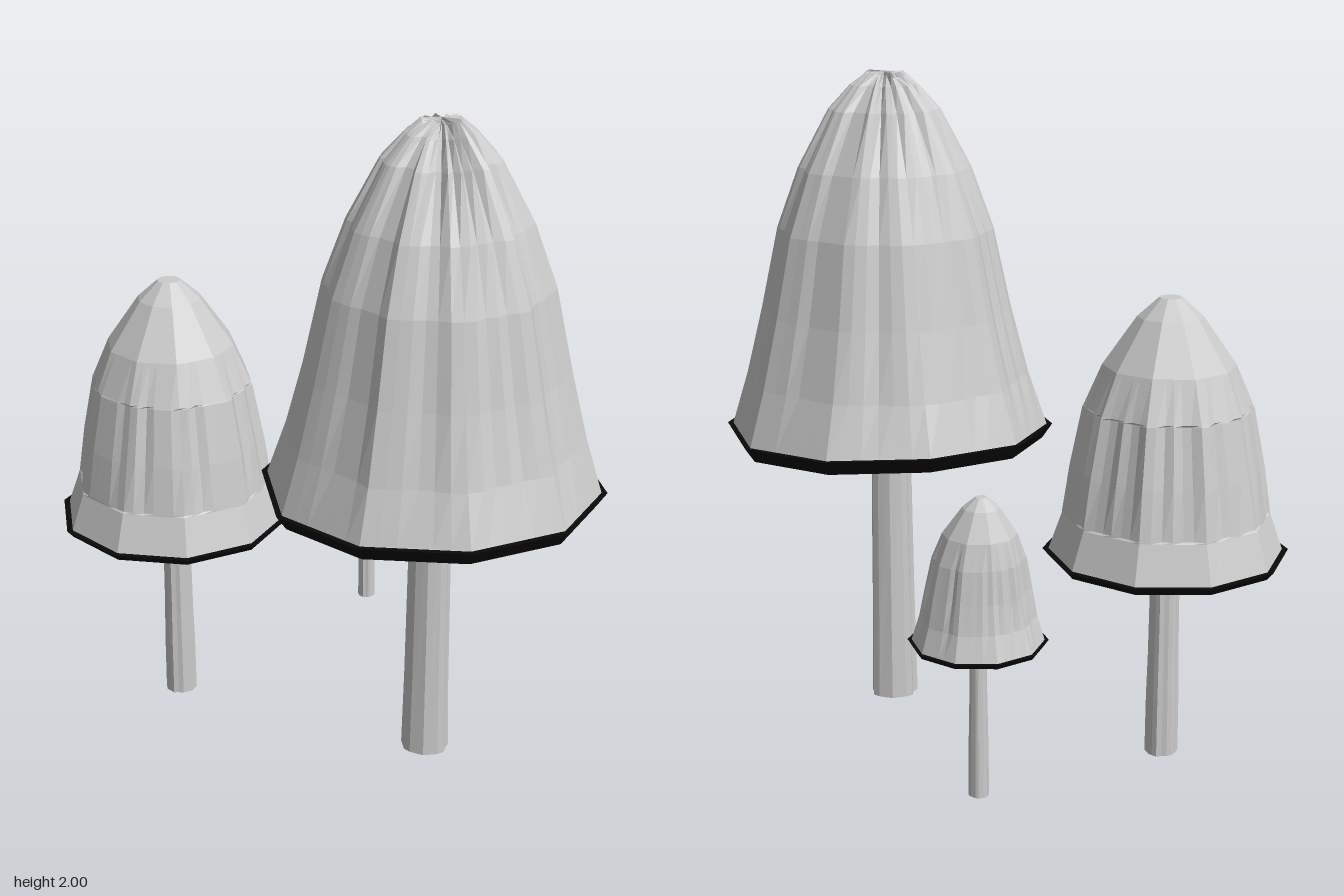
import * as THREE from 'three';

const SIDES = 10;
const grey = new THREE.MeshStandardMaterial({ color: 0xcccccc, flatShading: true, side: THREE.DoubleSide });
const black = new THREE.MeshStandardMaterial({ color: 0x0a0a0a, flatShading: true, side: THREE.DoubleSide });

// small seeded generator for the pleats
function seeded(seed) {
  return () => {
    seed = (seed * 16807) % 2147483647;
    return seed / 2147483647;
  };
}

// distance to the edge of a ten-sided polygon with a corner at angle 0
function polygon(a) {
  const step = (2 * Math.PI) / SIDES;
  return Math.cos(step / 2) / Math.cos((a % step) - step / 2);
}

// skin over rings listed from top to bottom; point(row, column, angle) gives [x, y, z]
function loft(rows, columns, point) {
  const positions = [], index = [];
  for (let i = 0; i < rows; i++) {
    for (let j = 0; j < columns; j++) {
      positions.push(...point(i, j, (j / columns) * 2 * Math.PI));
      if (i === rows - 1) continue;
      const k = (j + 1) % columns;
      const a = i * columns + j, b = i * columns + k;
      index.push(a, a + columns, b, b, a + columns, b + columns);
    }
  }
  const geometry = new THREE.BufferGeometry();
  geometry.setAttribute('position', new THREE.Float32BufferAttribute(positions, 3));
  geometry.setIndex(index);
  geometry.computeVertexNormals();
  return geometry;
}

// faceted rings; each ring is [y, radius, pleat depth]
function rings(list, { columns = SIDES, seed = 1, wave = 0, waveTop = 0, lean = 0, ruffle = 0 } = {}) {
  const random = seeded(seed);
  const pleat = Array.from({ length: columns }, () => (random() < 0.4 ? -1 : 0.25 * random()));
  const lift = Array.from({ length: columns }, () => random() - 1);
  const bottom = list[list.length - 1][0], top = list[0][0];
  return loft(list.length, columns, (i, j, a) => {
    const [y, radius, depth = 0] = list[i];
    const r = radius * polygon(a) + depth * pleat[j];
    const t = (y - bottom) / (top - bottom || 1);
    const wobble = wave * Math.cos(2 * a) * (y > waveTop ? 0 : 1);
    const frill = i < 2 ? ruffle * lift[j] : 0;
    return [r * Math.sin(a), y + wobble + frill, r * Math.cos(a) + lean * t * t];
  });
}

function mushroom(name, spec) {
  const group = new THREE.Group();
  group.name = name;
  group.position.set(spec.x, 0, spec.z);
  const add = (part, geometry, material = grey) => {
    const mesh = new THREE.Mesh(geometry, material);
    mesh.name = part;
    group.add(mesh);
  };
  const { rim, wave = 0 } = spec;
  const waved = { wave, waveTop: rim.top + 0.01 };

  // pleated bell, closed at the tip
  const [tipY, tipR, tipDepth] = spec.cap[0];
  add('cap', rings([[tipY, 0], [tipY, tipR, tipDepth], ...spec.cap.slice(1), [rim.top, rim.inner]],
    { ...waved, columns: 60, seed: spec.seed, lean: spec.lean, ruffle: spec.ruffle }));

  // dark lip that flares outward and up
  add('rim', rings([[rim.top, rim.inner], [rim.top, rim.outer], [rim.bottom, rim.lower]], waved), black);

  // hollow underside
  add('capUnderside', rings([[rim.bottom + spec.hollow, 0], [rim.bottom, rim.lower]],
    { wave, waveTop: rim.bottom + 0.01 }));

  // grooved stalk with a closed foot
  const foot = spec.stem[spec.stem.length - 1];
  add('stem', rings([...spec.stem, [foot[0], 0]], { columns: 20, seed: spec.seed + 5 }));
  return group;
}

export function createModel() {
  const model = new THREE.Group();
  model.name = 'mushroomCluster';

  model.add(mushroom('largeMushroom', {
    x: 0.28, z: 0.275, seed: 4211, wave: 0.012, hollow: 0.17, ruffle: 0.02,
    cap: [
      [2.0, 0.055, 0.018], [1.96, 0.1, 0.02], [1.89, 0.165, 0.02], [1.72, 0.258, 0.012],
      [1.54, 0.325, 0.008], [1.3, 0.378, 0.01], [1.1, 0.428, 0.006],
    ],
    rim: { top: 0.947, bottom: 0.903, inner: 0.478, outer: 0.495, lower: 0.465 },
    stem: [[1.06, 0.06, 0.004], [0.9, 0.062, 0.005], [0.55, 0.066, 0.005], [0.3, 0.069, 0.006], [0.06, 0.074, 0.006]],
  }));

  model.add(mushroom('mediumMushroom', {
    x: -0.41, z: -0.27, seed: 977, hollow: 0.1,
    cap: [
      [1.395, 0.034], [1.34, 0.095], [1.2, 0.192], [1.08, 0.243, 0.004],
      [1.075, 0.245, 0.009], [0.9, 0.28, 0.009], [0.76, 0.302, 0.004], [0.755, 0.303],
    ],
    rim: { top: 0.643, bottom: 0.62, inner: 0.342, outer: 0.36, lower: 0.34 },
    stem: [[0.71, 0.043, 0.002], [0.6, 0.044, 0.003], [0.3, 0.047, 0.003], [0.18, 0.05, 0.003], [0, 0.051, 0.003]],
  }));

  model.add(mushroom('smallMushroom', {
    x: 0.257, z: -0.592, seed: 3307, hollow: 0.04, lean: -0.035,
    cap: [
      [0.975, 0.016], [0.945, 0.05], [0.87, 0.1], [0.8, 0.126, 0.004],
      [0.71, 0.143, 0.006], [0.63, 0.158, 0.003],
    ],
    rim: { top: 0.562, bottom: 0.548, inner: 0.179, outer: 0.19, lower: 0.18 },
    stem: [[0.58, 0.022, 0.001], [0.4, 0.024, 0.002], [0.25, 0.027, 0.002], [0.105, 0.028, 0.002]],
  }));

  return model;
}
